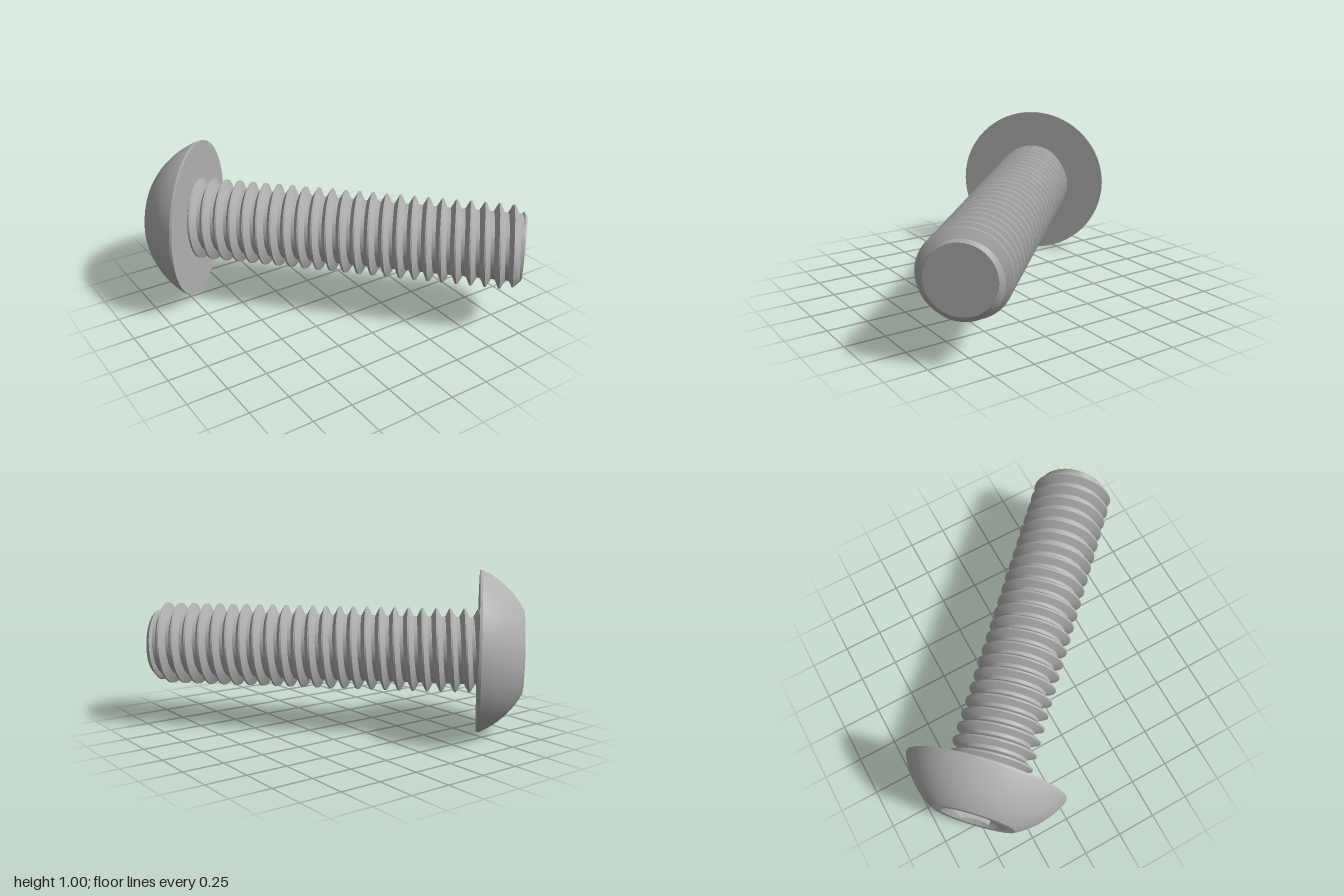
import * as THREE from 'three';
import { toCreasedNormals } from 'three/addons/utils/BufferGeometryUtils.js';

// Distances along the bolt axis (local y) and radii
const HEAD_TOP = -1.12, HEAD_BASE = -0.85, TIP = 1.216;
const CREST = 0.26, ROOT = 0.207, TIP_R = 0.2, PITCH = 0.0866, THREAD_START = -0.785;
const HEX_R = 0.18, SOCKET_R = 0.2, SOCKET_DEPTH = 0.17;
const TURN = Math.PI * 2;

// Surface of closed rings: ring(row, angle) gives [radius, axial position]
function ringSurface(rows, cols, ring, crease) {
  const pos = [], index = [];
  for (let i = 0; i < rows; i++) {
    for (let j = 0; j <= cols; j++) {
      const t = (j / cols) * TURN;
      const [r, s] = ring(i, t);
      pos.push(r * Math.cos(t), s, -r * Math.sin(t));
      if (i < rows - 1 && j < cols) {
        const a = i * (cols + 1) + j, b = a + cols + 1;
        index.push(a, a + 1, b, a + 1, b + 1, b);
      }
    }
  }
  const g = new THREE.BufferGeometry();
  g.setAttribute('position', new THREE.Float32BufferAttribute(pos, 3));
  g.setIndex(index);
  return toCreasedNormals(g, crease);
}

// Helical V thread with flat crests and roots, chamfered at the tip
function threadRadius(s, t) {
  const phase = (s - THREAD_START) / PITCH - t / TURN;
  const d = Math.abs(phase - Math.round(phase)); // 0 at crest, 0.5 at root
  const k = THREE.MathUtils.clamp((d - 1 / 16) / (3 / 8 - 1 / 16), 0, 1);
  return Math.min(CREST + (ROOT - CREST) * k, TIP_R + TIP - s);
}

function shankGeometry() {
  const knots = [-1 / 16, 1 / 16, 0.14, 0.22, 0.3, 3 / 8, 5 / 8, 0.7, 0.78, 0.86];
  const steps = [];
  for (let k = -2; k <= 24; k++) for (const f of knots) steps.push(k + f);
  const n = steps.length;
  // the last two rows close the flat tip
  return ringSurface(n + 2, 64, (i, t) => {
    if (i === n) return [TIP_R, TIP];
    if (i > n) return [0, TIP];
    const s = THREE.MathUtils.clamp(THREAD_START + PITCH * (steps[i] + t / TURN), HEAD_BASE, TIP);
    return [threadRadius(s, t), s];
  }, 0.4);
}

// Button head: flat top ring, spherical dome, thin rim and flat underside
function headGeometry() {
  const pts = [new THREE.Vector2(SOCKET_R, HEAD_TOP)];
  const R = 0.55, centre = -0.636;
  const a0 = Math.asin(0.26 / R), a1 = Math.asin(0.5 / R);
  for (let i = 0; i <= 14; i++) {
    const a = a0 + ((a1 - a0) * i) / 14;
    pts.push(new THREE.Vector2(R * Math.sin(a), centre - R * Math.cos(a)));
  }
  pts.push(new THREE.Vector2(0.5, HEAD_BASE), new THREE.Vector2(0.19, HEAD_BASE));
  return toCreasedNormals(new THREE.LatheGeometry(pts, 96), 0.4);
}

// Hexagonal socket with a conical lead-in
function socketGeometry() {
  const apothem = HEX_R * Math.cos(Math.PI / 6);
  return ringSurface(4, 72, (i, t) => {
    const hex = apothem / Math.cos((t % (Math.PI / 3)) - Math.PI / 6);
    const floor = HEAD_TOP + SOCKET_DEPTH;
    if (i === 0) return [0, floor];
    if (i === 1) return [hex, floor];
    if (i === 2) return [hex, HEAD_TOP + (SOCKET_R - hex) * 0.6];
    return [SOCKET_R, HEAD_TOP];
  }, 0.35);
}

export function createModel() {
  const steel = new THREE.MeshStandardMaterial({ color: 0xb0b0b0 });
  steel.name = 'steel grey';

  const bolt = new THREE.Group();
  bolt.name = 'bolt';
  const parts = { threadedShank: shankGeometry(), buttonHead: headGeometry(), hexSocket: socketGeometry() };
  for (const [name, geometry] of Object.entries(parts)) {
    const mesh = new THREE.Mesh(geometry, steel);
    mesh.name = name;
    bolt.add(mesh);
  }

  // Lay the bolt level, pointing diagonally to the front
  const h = Math.SQRT1_2;
  bolt.quaternion.setFromRotationMatrix(new THREE.Matrix4().makeBasis(
    new THREE.Vector3(h, 0, -h), new THREE.Vector3(h, 0, h), new THREE.Vector3(0, -1, 0)));
  bolt.position.y = 0.5;

  const model = new THREE.Group();
  model.name = 'buttonHeadBolt';
  model.add(bolt);
  return model;
}
